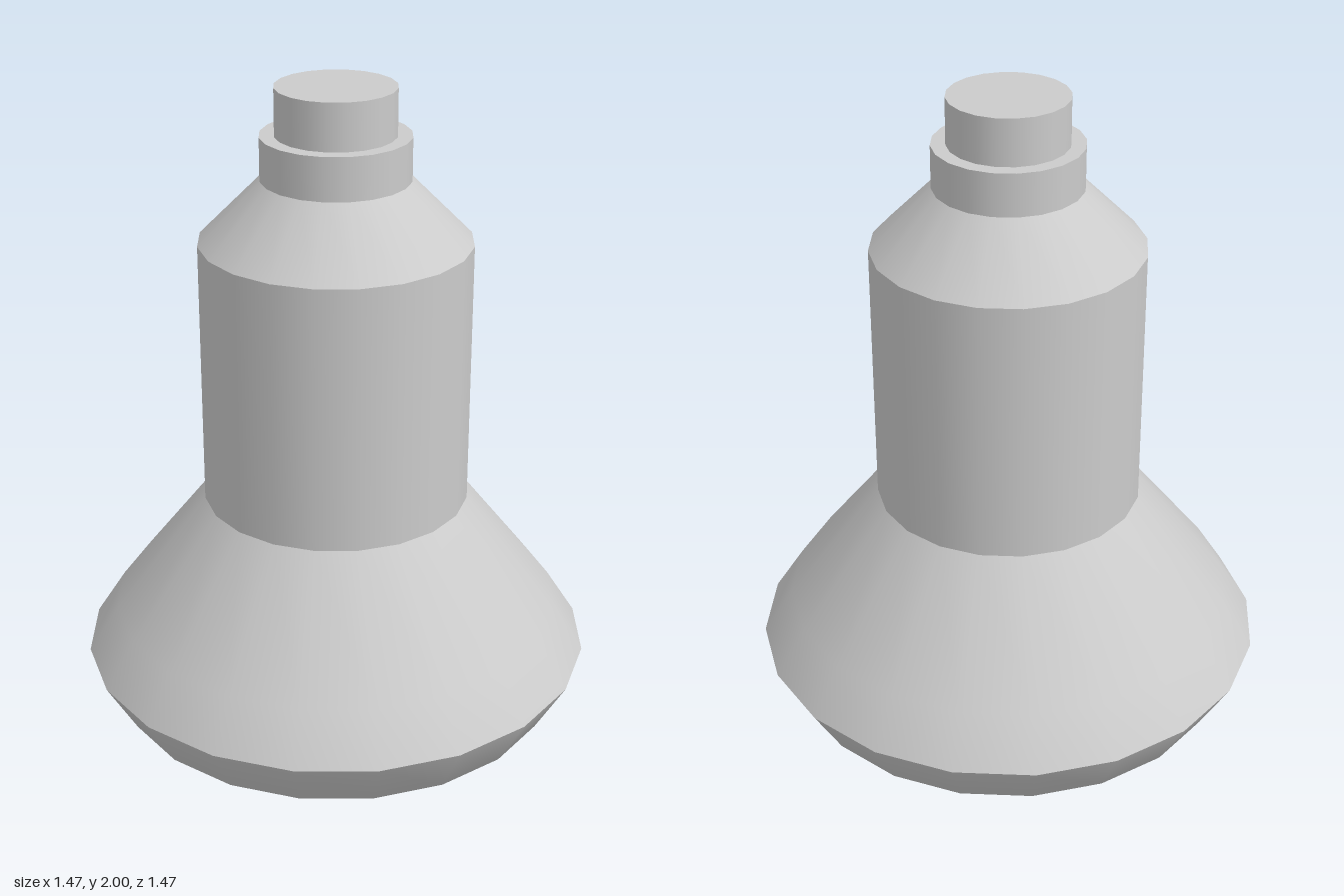
import * as THREE from 'three';

const SIDES = 20;

// Each profile is a list of [radius, height] from bottom to top;
// neighbouring profiles meet in a sharp edge.
const PARTS = {
  roundedLens: [[0, 0], [0.315, 0.007], [0.521, 0.09], [0.648, 0.177], [0.736, 0.33]],
  flaredReflector: [[0.736, 0.33], [0.648, 0.468], [0.381, 0.807]],
  body: [[0.381, 0.807], [0.381, 1.571]],
  shoulder: [[0.381, 1.571], [0.208, 1.746]],
  collar: [[0.208, 1.746], [0.208, 1.868]],
  collarTop: [[0.208, 1.868], [0.167, 1.868]],
  contact: [[0.167, 1.868], [0.167, 2]],
  contactTop: [[0.167, 2], [0, 2]],
};

export function createModel() {
  const group = new THREE.Group();
  group.name = 'reflectorBulb';
  const material = new THREE.MeshStandardMaterial({ color: 0xcccccc });

  for (const [name, profile] of Object.entries(PARTS)) {
    const points = profile.map(([r, y]) => new THREE.Vector2(r, y));
    const mesh = new THREE.Mesh(new THREE.LatheGeometry(points, SIDES), material);
    mesh.name = name;
    group.add(mesh);
  }
  return group;
}
